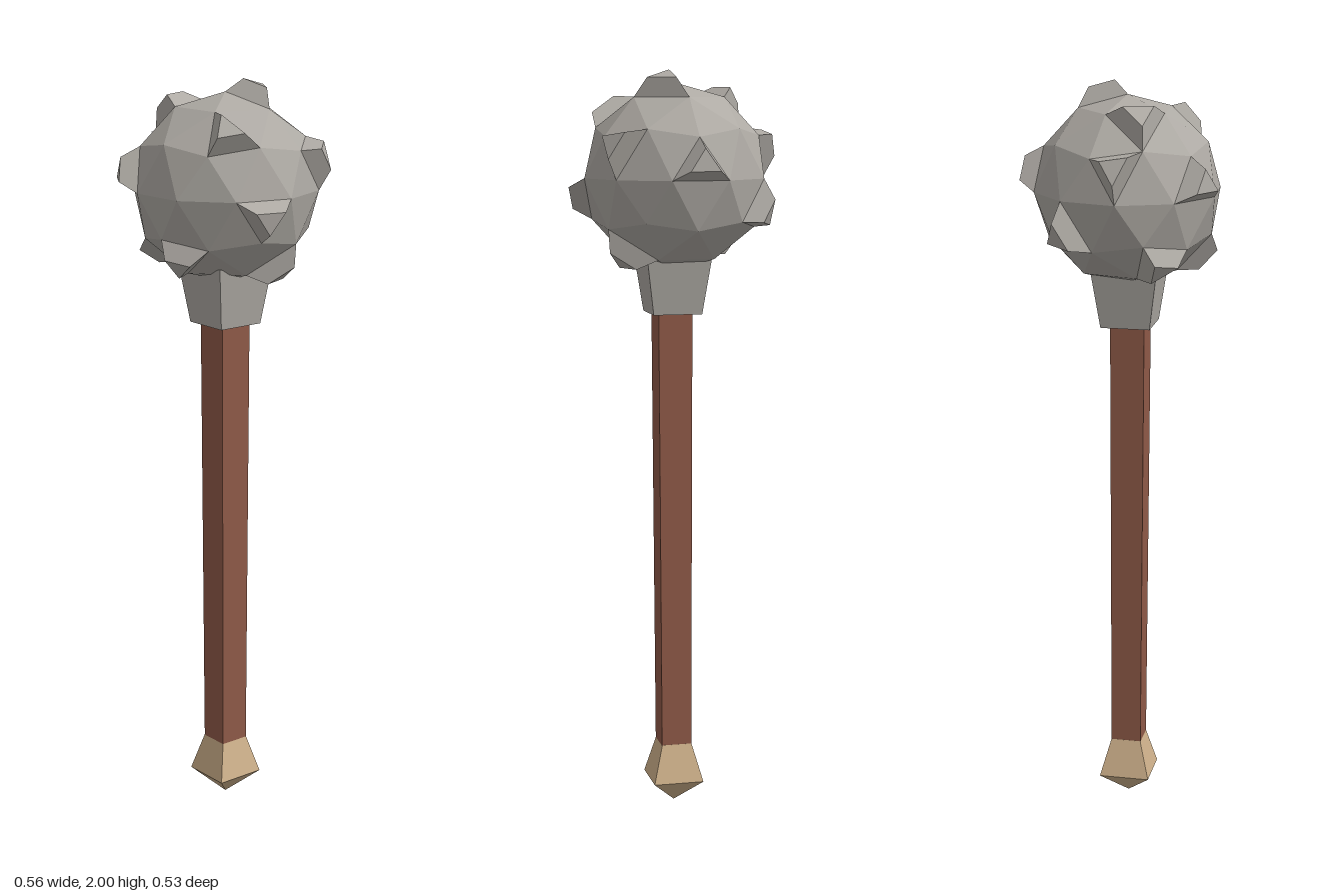
import * as THREE from 'three';

const stone = new THREE.MeshStandardMaterial({ color: 0xaeaaa4 });
stone.name = 'stone';
const wood = new THREE.MeshStandardMaterial({ color: 0x8f5a48 });
wood.name = 'wood';
const bone = new THREE.MeshStandardMaterial({ color: 0xcdb08a });
bone.name = 'bone';

const RADIUS = 0.247, RAISE = 0.047, CAP_SCALE = 0.53, TURN = 23.3;

// Unit direction; azimuth runs from +x towards +z
function direction(azimuth, elevation) {
  const a = THREE.MathUtils.degToRad(azimuth), e = THREE.MathUtils.degToRad(elevation);
  return new THREE.Vector3(Math.cos(e) * Math.cos(a), Math.sin(e), Math.cos(e) * Math.sin(a));
}

// Faceted ball: an icosahedron standing on a corner, each face split in four
function ballFaces() {
  const top = direction(0, 90), bottom = direction(0, -90);
  const up = (k) => direction(TURN + 72 * k, 26.565);
  const low = (k) => direction(TURN + 36 + 72 * k, -26.565);
  const big = [];
  for (let k = 0; k < 5; k++) {
    big.push([top, up(k), up(k + 1)], [up(k), up(k + 1), low(k)],
      [up(k + 1), low(k), low(k + 1)], [bottom, low(k), low(k + 1)]);
  }
  const mid = (p, q) => p.clone().add(q).normalize();
  const faces = [];
  for (const [a, b, c] of big) {
    const ab = mid(a, b), bc = mid(b, c), ca = mid(c, a);
    faces.push([a, ab, ca], [b, bc, ab], [c, ca, bc], [ab, bc, ca]);
  }
  return faces.map((face) => {
    const [a, b, c] = face.map((p) => p.clone().multiplyScalar(RADIUS));
    const n = b.clone().sub(a).cross(c.clone().sub(a));
    return n.dot(a) > 0 ? [a, b, c] : [a, c, b];
  });
}

const centreOf = ([a, b, c]) => a.clone().add(b).add(c).divideScalar(3);

function facetedMesh(name, triangles, material) {
  const geometry = new THREE.BufferGeometry().setFromPoints(triangles.flat());
  geometry.computeVertexNormals();
  const mesh = new THREE.Mesh(geometry, material);
  mesh.name = name;
  return mesh;
}

// Raises one face of the ball into a tapered stud
function studTriangles(face) {
  const centre = centreOf(face);
  const lift = centre.clone().setLength(RAISE);
  const cap = face.map((p) => p.clone().sub(centre).multiplyScalar(CAP_SCALE).add(centre).add(lift));
  const triangles = [cap];
  for (let i = 0; i < 3; i++) {
    const j = (i + 1) % 3;
    triangles.push([face[i], face[j], cap[j]], [face[i], cap[j], cap[i]]);
  }
  return triangles;
}

// Four-sided tapered piece with its corners on the x and z axes
function taper(name, rTop, rBottom, yBottom, yTop, material, z = 0) {
  const geometry = new THREE.CylinderGeometry(rTop, rBottom, yTop - yBottom, 4).toNonIndexed();
  geometry.computeVertexNormals();
  const mesh = new THREE.Mesh(geometry, material);
  mesh.name = name;
  mesh.position.set(0.001, (yTop + yBottom) / 2, z);
  return mesh;
}

export function createModel() {
  const model = new THREE.Group();
  model.name = 'mace';

  // Pommel
  const pommel = new THREE.Group();
  pommel.name = 'pommel';
  pommel.add(taper('pommelTip', 0.097, 0, 0.005, 0.072, bone, 0.004));
  pommel.add(taper('pommelNeck', 0.058, 0.097, 0.072, 0.175, bone, 0.004));
  model.add(pommel);

  // Handle and collar
  const handle = taper('handle', 0.065, 0.058, 0.165, 1.4, wood, 0.007);
  handle.rotation.x = 0.004;
  model.add(handle);
  model.add(taper('collar', 0.126, 0.093, 1.365, 1.53, stone, 0.007));

  // Head with raised studs, each placed by azimuth and elevation
  const head = new THREE.Group();
  head.name = 'head';
  head.position.y = 1.724;
  const studs = [
    [347, 72], [203, 53], [222, 20], [258, -20], [311, 9], [6, 20],
    [167, 9], [82, 40], [59, -9], [118, -40], [190, -40], [23, -53],
  ];
  const faces = ballFaces();
  const raised = new Set();
  for (const [azimuth, elevation] of studs) {
    const d = direction(azimuth, elevation);
    const closeness = (face) => centreOf(face).normalize().dot(d);
    const face = faces.reduce((best, f) => (closeness(f) > closeness(best) ? f : best));
    raised.add(face);
    head.add(facetedMesh('stud', studTriangles(face), stone));
  }
  head.add(facetedMesh('ball', faces.filter((f) => !raised.has(f)), stone));
  model.add(head);

  return model;
}
